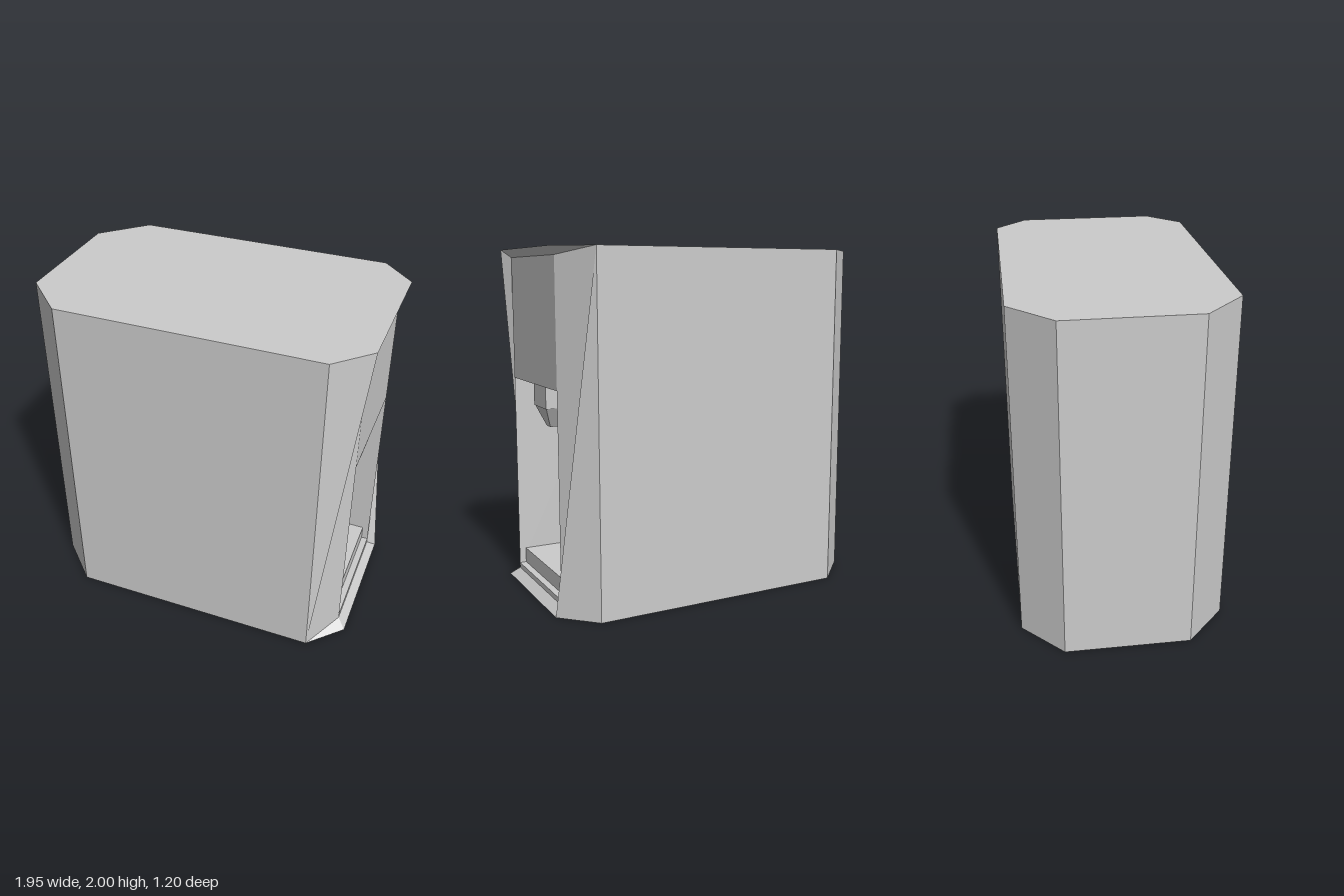
import * as THREE from 'three';

const material = new THREE.MeshStandardMaterial({ color: 0xcccccc, flatShading: true });

// Builds flat polygons, each a counter-clockwise list of corners, as triangle fans
function polygons(name, faces) {
  const positions = [];
  for (const face of faces) {
    for (let i = 1; i < face.length - 1; i++) {
      positions.push(...face[0], ...face[i], ...face[i + 1]);
    }
  }
  const geometry = new THREE.BufferGeometry();
  geometry.setAttribute('position', new THREE.Float32BufferAttribute(positions, 3));
  geometry.computeVertexNormals();
  const mesh = new THREE.Mesh(geometry, material);
  mesh.name = name;
  return mesh;
}

// Box given by its limits on each axis
function block(name, [x0, x1], [y0, y1], [z0, z1]) {
  const mesh = new THREE.Mesh(new THREE.BoxGeometry(x1 - x0, y1 - y0, z1 - z0), material);
  mesh.position.set((x0 + x1) / 2, (y0 + y1) / 2, (z0 + z1) / 2);
  mesh.name = name;
  return mesh;
}

// Half turn about the long axis at mid height
const turned = (faces) => faces.map((f) => f.map(([x, y, z]) => [x, 2 - y, -z]));

export function createModel() {
  const group = new THREE.Group();
  group.name = 'dispenser';

  const H = 2, Z = 0.6;
  const L = -0.975, LC = -0.735, LZ = 0.365;  // plain end and its chamfer
  const R = 0.97, RC = 0.78, RZ = 0.41;       // open end and its chamfer
  const X = 0.92, W = 0.365, B = 0.045, T = H - B; // inset rim of the opening
  const back = 0;                             // rear of the bay

  // Casing: one half, then the same half turned over
  const half = [
    [[R, H, RZ], [R, H, -RZ], [RC, H, -Z], [LC, H, -Z],
      [L, H, -LZ], [L, H, LZ], [LC, H, Z], [RC, H, Z]],
    [[LC, 0, Z], [RC, 0, Z], [RC, H, Z], [LC, H, Z]],
    [[L, 0, LZ], [LC, 0, Z], [LC, H, Z], [L, H, LZ]],
    // folded chamfer running into the inset rim
    [[RC, 0, Z], [R, H, RZ], [RC, H, Z]],
    [[RC, 0, Z], [R, 0, RZ], [X, B, W], [X, T, W], [R, H, RZ]],
    // sloping lip
    [[X, T, W], [X, T, -W], [R, H, -RZ], [R, H, RZ]],
  ];
  const end = [[L, 0, -LZ], [L, 0, LZ], [L, H, LZ], [L, H, -LZ]];
  group.add(polygons('casing', [...half, ...turned(half), end]));

  // Bay: side walls, rear wall and ceiling
  const wall = [[[back, B, -W], [X, B, -W], [X, T, -W], [back, T, -W]]];
  group.add(polygons('bay', [
    ...wall, ...turned(wall),
    [[back, B, W], [back, B, -W], [back, T, -W], [back, T, W]],
    [[back, T, -W], [X, T, -W], [X, T, W], [back, T, W]],
  ]));

  // Parts inside the bay
  group.add(block('bayFloor', [back, X], [B, 0.075], [-W, W]));
  group.add(block('dripTray', [back, 0.88], [0.075, 0.165], [-W, W]));
  group.add(block('headPanel', [0.68, X], [1.24, T], [-W, W]));

  // Nozzle: square block over a tapered tip
  group.add(block('nozzleBlock', [0.75, 0.89], [1.105, 1.24], [-0.1, 0.1]));
  const tip = new THREE.CylinderGeometry(Math.SQRT2, 0.32 * Math.SQRT2, 0.115, 4);
  tip.rotateY(Math.PI / 4);
  tip.scale(0.066, 1, 0.094);
  const nozzleTip = new THREE.Mesh(tip, material);
  nozzleTip.position.set(0.82, 1.0475, 0);
  nozzleTip.name = 'nozzleTip';
  group.add(nozzleTip);

  return group;
}
